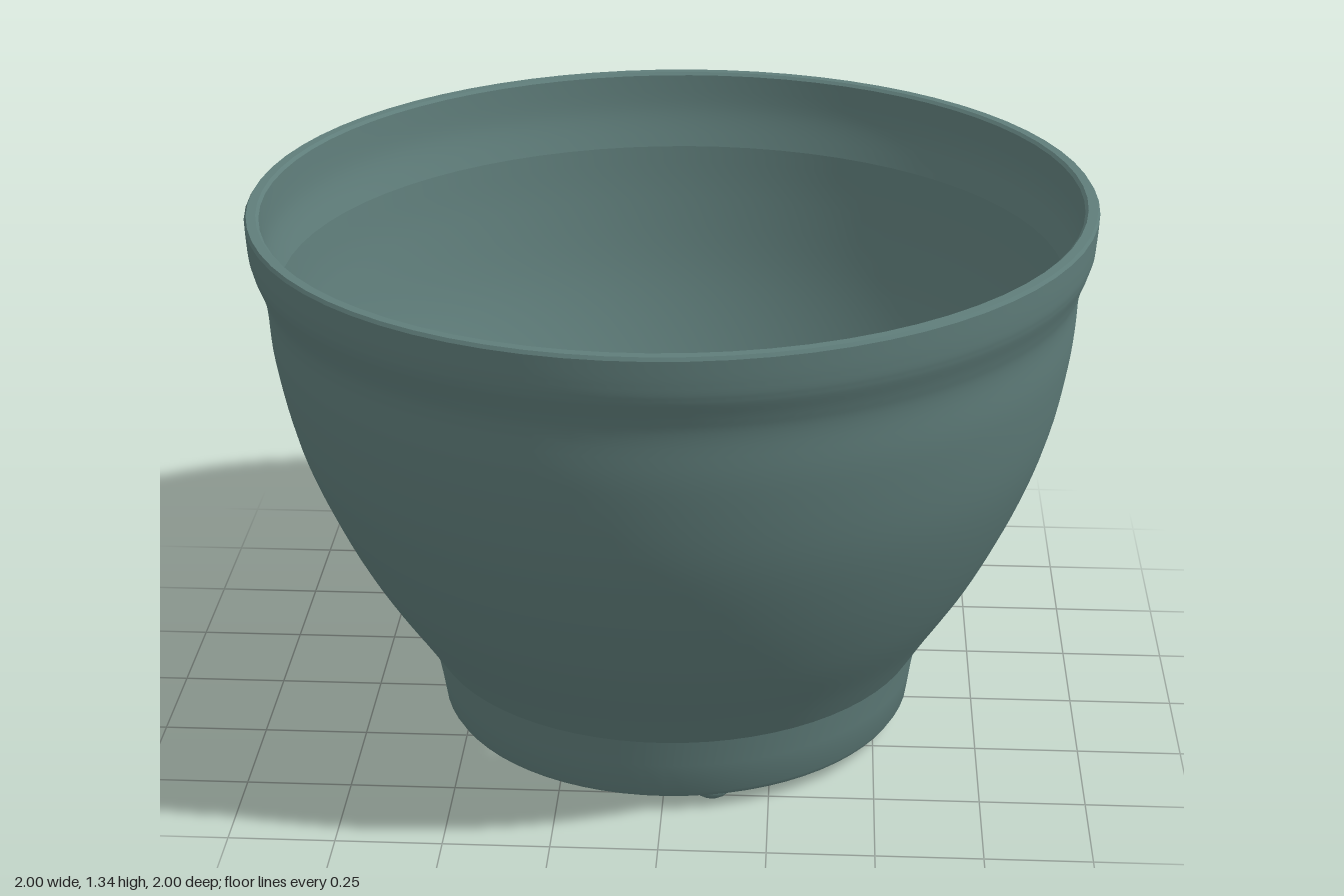
import * as THREE from 'three';
import { toCreasedNormals } from 'three/addons/utils/BufferGeometryUtils.js';

const SEGMENTS = 72;
const vec = ([x, y]) => new THREE.Vector2(x, y);
const curve = (pts, n) => new THREE.SplineCurve(pts.map(vec)).getPoints(n);

export function createModel() {
  const pot = new THREE.Group();
  pot.name = 'flowerPot';
  const glaze = new THREE.MeshStandardMaterial({ color: 0x5f7d7a });
  glaze.name = 'grey green';

  const add = (name, geometry) => {
    const mesh = new THREE.Mesh(geometry, glaze);
    mesh.name = name;
    pot.add(mesh);
    return mesh;
  };
  const turn = (name, points) =>
    add(name, toCreasedNormals(new THREE.LatheGeometry(points, SEGMENTS), 0.6));

  // Flat round plate with holes, lying between two heights; holes are [x, z, radius]
  const plate = (name, radius, bottom, top, holes) => {
    const shape = new THREE.Shape().absarc(0, 0, radius, 0, Math.PI * 2);
    for (const [x, z, r] of holes) {
      shape.holes.push(new THREE.Path().absarc(x, -z, r, 0, Math.PI * 2, true));
    }
    const geometry = new THREE.ExtrudeGeometry(shape, {
      depth: top - bottom, bevelEnabled: false, curveSegments: SEGMENTS / 2,
    });
    geometry.rotateX(-Math.PI / 2).translate(0, bottom, 0);
    add(name, toCreasedNormals(geometry, 0.6));
  };

  // Outer foot and swelling bowl wall, up to the rolled band
  turn('footWall', [[0.56, 0.035], [0.572, 0.037], [0.58, 0.05], [0.592, 0.13], [0.605, 0.2]].map(vec));
  turn('outerWall', curve([
    [0.605, 0.2], [0.655, 0.28], [0.75, 0.43], [0.84, 0.61], [0.91, 0.8],
    [0.95, 1.0], [0.96, 1.13], [0.972, 1.18], [0.99, 1.23], [0.996, 1.27], [0.999, 1.325],
  ], 50));

  // Lip, inner ledge and inside of the bowl
  turn('rim', [[0.999, 1.325], [0.994, 1.333], [0.972, 1.333], [0.965, 1.326]].map(vec));
  turn('innerBand', curve([[0.965, 1.326], [0.96, 1.25], [0.95, 1.2], [0.931, 1.14]], 10));
  turn('innerWall', curve([
    [0.931, 1.14], [0.915, 1.0], [0.875, 0.8], [0.805, 0.61],
    [0.715, 0.43], [0.62, 0.28], [0.578, 0.21], [0.565, 0.17], [0.56, 0.08],
  ], 40));

  // Foot ring forming the drainage groove, with three drain holes
  plate('footRing', 0.56, 0.035, 0.08, [
    [0, 0, 0.46], [-0.08, -0.51, 0.025], [0.49, 0.18, 0.027], [-0.39, 0.33, 0.025],
  ]);

  // Raised floor with its sloping step above and recess below
  plate('floor', 0.39, 0.16, 0.2, [[0, 0, 0.045]]);
  turn('floorStep', curve([[0.485, 0.08], [0.47, 0.095], [0.425, 0.175], [0.41, 0.193], [0.39, 0.2]], 14));
  turn('recessWall', [[0.39, 0.16], [0.4, 0.148], [0.448, 0.05], [0.46, 0.035]].map(vec));

  // Small rounded feet
  for (const [x, z] of [[-0.48, -0.16], [0.11, 0.51], [0.4, -0.34]]) {
    const foot = add('foot', new THREE.SphereGeometry(1, 16, 10));
    foot.scale.set(0.045, 0.03, 0.045);
    foot.position.set(x, 0.035, z);
  }

  // The whole pot leans very slightly
  pot.rotation.z = 0.0095;
  pot.position.x = 0.006;
  const model = new THREE.Group();
  model.add(pot);
  return model;
}
